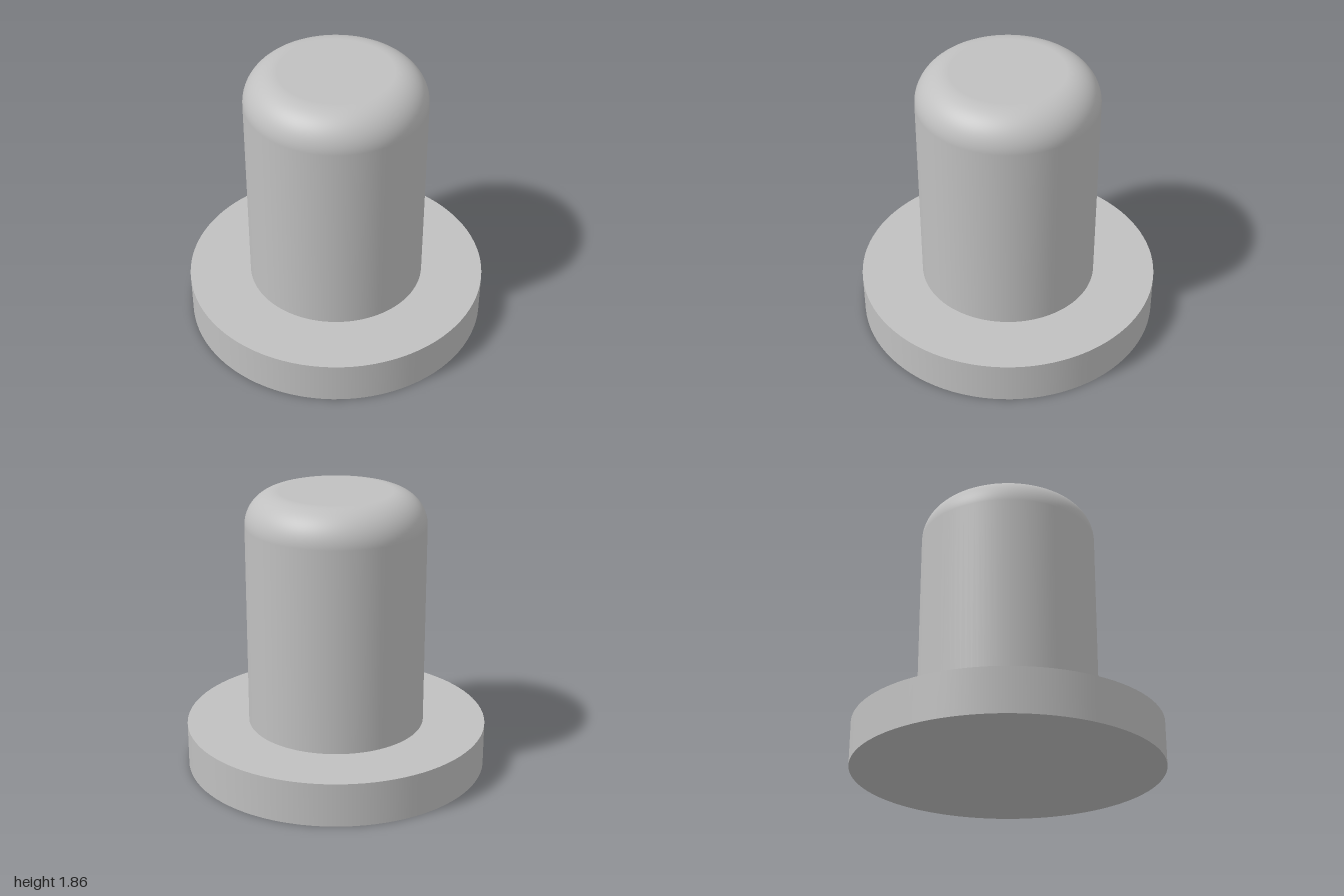
import * as THREE from 'three';

export function createModel() {
  const group = new THREE.Group();
  group.name = 'flangedPin';
  const grey = new THREE.MeshStandardMaterial({ color: 0xc0c0c0 });
  grey.name = 'plain grey';

  const segments = 96;
  const flangeHeight = 0.29;
  const pinRadius = 0.587;
  const top = 1.86;
  const fillet = 0.22;

  // Flat round base
  const flange = new THREE.Mesh(
    new THREE.CylinderGeometry(1, 1, flangeHeight, segments), grey);
  flange.name = 'baseFlange';
  flange.position.y = flangeHeight / 2;
  group.add(flange);

  // Upright pin with a rounded shoulder and a flat top
  const profile = [new THREE.Vector2(pinRadius, flangeHeight)];
  const steps = 20;
  for (let i = 0; i <= steps; i++) {
    const a = (i / steps) * Math.PI / 2;
    profile.push(new THREE.Vector2(
      pinRadius - fillet + fillet * Math.cos(a),
      top - fillet + fillet * Math.sin(a)));
  }
  profile.push(new THREE.Vector2(0, top));
  const pin = new THREE.Mesh(new THREE.LatheGeometry(profile, segments), grey);
  pin.name = 'roundedPin';
  group.add(pin);

  return group;
}
